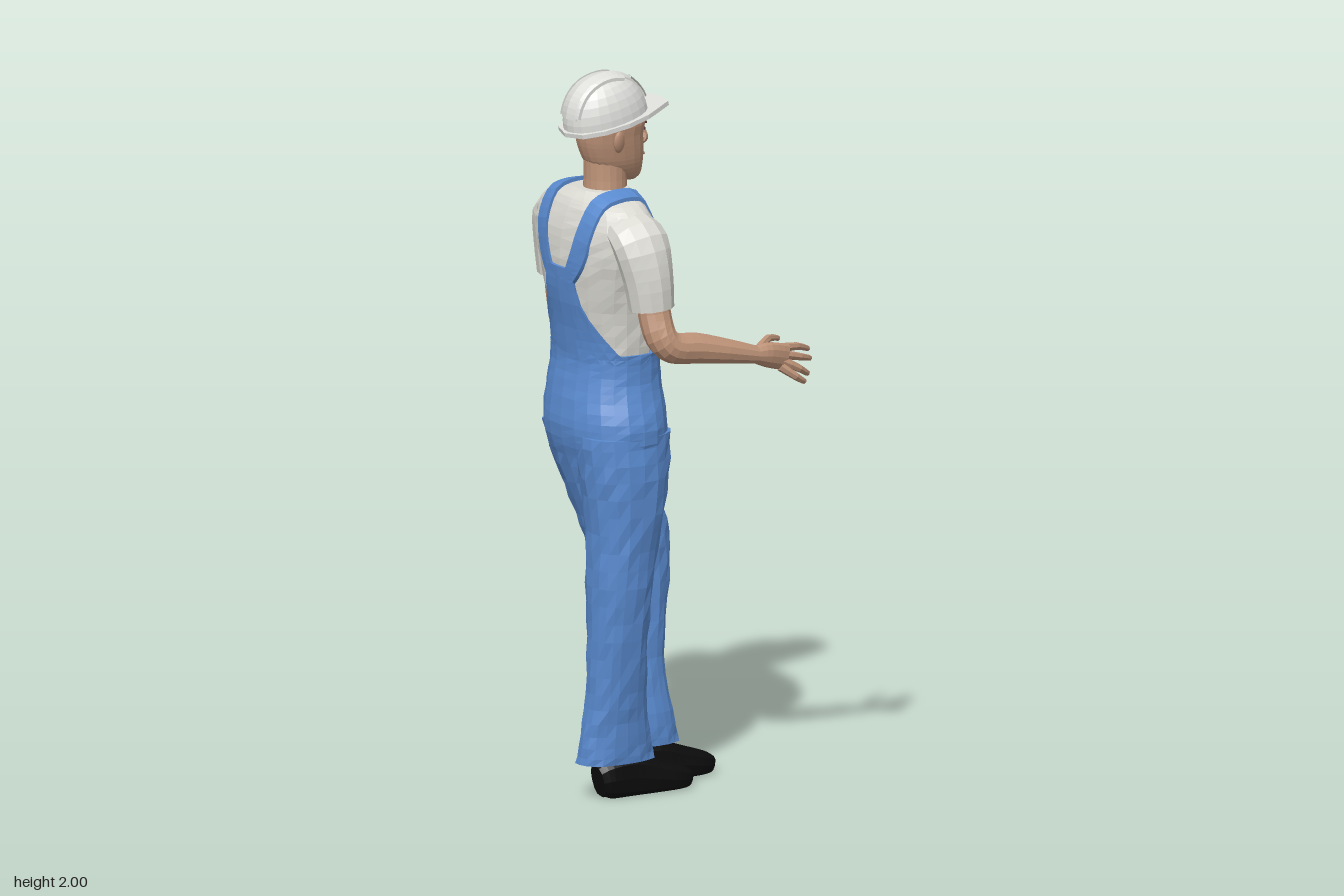
import * as THREE from 'three';

const mat = (name, color) => { const m = new THREE.MeshStandardMaterial({ color }); m.name = name; return m; };
const V = (x, y, z) => new THREE.Vector3(x, y, z);
const MID = 0.013; // z of the body's middle plane

export function createModel() {
  const skin = mat('skin', 0xbf9479), shirt = mat('shirt white', 0xdbdad3), shell = mat('helmet white', 0xdedfdb);
  const blue = mat('overall blue', 0x5a8bd0), black = mat('black', 0x0c0c0c), grey = mat('badge grey', 0x9b9b96);
  const dark = mat('brow brown', 0x4a352b), lip = mat('lip', 0xa87563);
  const man = new THREE.Group();
  man.name = 'worker';

  const add = (name, geometry, material, parent = man) => {
    const mesh = new THREE.Mesh(geometry, material);
    mesh.name = name;
    parent.add(mesh);
    return mesh;
  };

  // Faceted surface through rows of points, optionally closed round and capped
  function skinRows(rows, closed = true) {
    const out = [], n = rows[0].length;
    const tri = (...p) => p.forEach(q => out.push(q.x, q.y, q.z));
    for (let i = 0; i < rows.length - 1; i++)
      for (let j = 0; j < (closed ? n : n - 1); j++) {
        const k = (j + 1) % n, a = rows[i][j], b = rows[i + 1][j], c = rows[i + 1][k], d = rows[i][k];
        tri(a, b, d); tri(b, c, d);
      }
    if (closed) [rows[0], rows[rows.length - 1]].forEach((r, e) => {
      const m = r.reduce((s, p) => s.add(p), V(0, 0, 0)).divideScalar(n);
      for (let j = 0; j < n; j++) e ? tri(m, r[(j + 1) % n], r[j]) : tri(m, r[j], r[(j + 1) % n]);
    });
    const g = new THREE.BufferGeometry();
    g.setAttribute('position', new THREE.Float32BufferAttribute(out, 3));
    g.computeVertexNormals();
    return g;
  }

  // Spline between rows of numbers
  function smooth(rows, steps) {
    const out = [], at = i => rows[Math.max(0, Math.min(rows.length - 1, i))];
    for (let i = 0; i < rows.length - 1; i++)
      for (let s = 0; s < steps; s++) {
        const t = s / steps, [a, b, c, d] = [at(i - 1), at(i), at(i + 1), at(i + 2)];
        out.push(b.map((_, k) => b[k] + 0.5 * t * (c[k] - a[k] + t * (2 * a[k] - 5 * b[k] + 4 * c[k] - d[k]
          + t * (3 * (b[k] - c[k]) + d[k] - a[k])))));
      }
    out.push(at(rows.length - 1));
    return out;
  }
  const pow = (v, n) => Math.sign(v) * Math.abs(v) ** (2 / n);
  const ringAngles = n => Array.from({ length: n }, (_, j) => j / n * Math.PI * 2);

  // Horizontal sections [y, xBack, xFront, zMin, zMax]; crease adds folds in cloth
  function loft(rows, { steps = 3, sides = 20, n = 2.3, crease = 0 } = {}) {
    return skinRows(smooth(rows, steps).map(([y, x0, x1, z0, z1], i) => ringAngles(sides).map((a, j) => {
      const h = Math.sin(i * 12.99 + j * 78.23) * 43758.5, s = 1 + crease * (h - Math.floor(h) - 0.5);
      return V((x0 + x1) / 2 + (x1 - x0) / 2 * s * pow(Math.cos(a), n), y, (z0 + z1) / 2 + (z1 - z0) / 2 * s * pow(Math.sin(a), n));
    })));
  }

  // Tube along points [x, y, z, sideways radius, other radius]
  function limb(pts, { steps = 3, sides = 12, n = 2, floor = -1 } = {}) {
    const p = smooth(pts.map(q => q.length < 5 ? [...q, q[3]] : q), steps);
    return skinRows(p.map((q, i) => {
      const a = p[Math.max(0, i - 1)], b = p[Math.min(p.length - 1, i + 1)];
      const t = V(b[0] - a[0], b[1] - a[1], b[2] - a[2]).normalize();
      const u = V(0, 0, 1).addScaledVector(t, -t.z).normalize(), v = u.clone().cross(t);
      return ringAngles(sides).map(w => {
        const r = V(q[0], q[1], q[2]).addScaledVector(u, q[3] * pow(Math.cos(w), n)).addScaledVector(v, q[4] * pow(Math.sin(w), n));
        r.y = Math.max(floor, r.y);
        return r;
      });
    }));
  }

  // Point on a mesh seen from its inner centre, lifted by an offset
  const caster = new THREE.Raycaster();
  function onSurface(target, centre, dir, lift) {
    dir.normalize();
    caster.set(centre.clone().add(dir), dir.clone().negate());
    const hit = caster.intersectObject(target)[0];
    return centre.clone().addScaledVector(dir, (hit ? 1 - hit.distance : 0.1) + lift);
  }
  // Band running front to back over a mesh
  function band(target, cx, cy, zAt, half, a0, a1, lift, steps = 20) {
    return skinRows(Array.from({ length: steps + 1 }, (_, i) => {
      const t = i / steps, a = a0 + (a1 - a0) * t;
      return [[-1, 0], [-1, 1], [0, 1], [1, 1], [1, 0]].map(([s, l]) =>
        onSurface(target, V(cx, cy, zAt(t) + s * half), V(Math.cos(a), Math.sin(a), 0), l * lift));
    }), false);
  }
  // Cloth panel round a mesh; widths are [y, half angle]
  function panel(target, facing, widths) {
    const rows = smooth(widths, 3), last = rows[rows.length - 1];
    return skinRows([...rows, last].map(([y, w], i) => Array.from({ length: 15 }, (_, j) => {
      const s = Math.max(0, Math.min(12, j - 1)) / 6 - 1, a = facing + s * w;
      return onSurface(target, V(-0.178, y, MID), V(Math.cos(a), 0, Math.sin(a)), j === 0 || j === 14 || i === rows.length ? -0.003 : 0.01);
    })), false);
  }

  // Shirt
  const torso = add('shirt', loft([
    [1.1, -0.29, -0.055, -0.155, 0.18], [1.2, -0.282, -0.055, -0.155, 0.178], [1.3, -0.29, -0.05, -0.162, 0.188],
    [1.4, -0.308, -0.046, -0.178, 0.204], [1.5, -0.316, -0.056, -0.205, 0.232], [1.58, -0.308, -0.08, -0.225, 0.25],
    [1.63, -0.292, -0.1, -0.205, 0.232], [1.662, -0.275, -0.11, -0.155, 0.182], [1.685, -0.25, -0.115, -0.068, 0.094],
  ], { sides: 24, crease: 0.025 }), shirt);
  add('rightSleeve', limb([[-0.2, 1.605, 0.18, 0.05, 0.075], [-0.197, 1.57, 0.235, 0.062, 0.082], [-0.187, 1.48, 0.257, 0.066, 0.07], [-0.18, 1.395, 0.264, 0.062, 0.062]]), shirt);
  add('leftSleeve', limb([[-0.18, 1.605, -0.155, 0.05, 0.075], [-0.175, 1.57, -0.205, 0.062, 0.08], [-0.168, 1.48, -0.222, 0.064, 0.07], [-0.163, 1.395, -0.226, 0.06, 0.062]]), shirt);

  // Overalls
  add('overallWaist', loft([
    [0.95, -0.305, -0.06, -0.145, 0.205], [1.0, -0.318, -0.036, -0.17, 0.225], [1.06, -0.32, -0.034, -0.172, 0.222],
    [1.14, -0.306, -0.037, -0.168, 0.196], [1.2, -0.294, -0.042, -0.165, 0.188], [1.245, -0.292, -0.042, -0.168, 0.19],
  ], { sides: 24, crease: 0.015 }), blue);
  add('rightTrouserLeg', loft([
    [0.1, -0.31, -0.075, 0.035, 0.165], [0.18, -0.297, -0.095, 0.045, 0.168], [0.3, -0.286, -0.112, 0.05, 0.182],
    [0.45, -0.285, -0.118, 0.05, 0.2], [0.6, -0.285, -0.107, 0.04, 0.215], [0.75, -0.285, -0.085, 0.03, 0.225],
    [0.9, -0.303, -0.057, 0.025, 0.23], [1.02, -0.312, -0.05, 0.02, 0.222],
  ], { crease: 0.07 }), blue);
  add('leftTrouserLeg', loft([
    [0.11, -0.125, 0.06, -0.052, 0.072], [0.2, -0.12, 0.042, -0.052, 0.065], [0.35, -0.12, 0.028, -0.08, 0.045],
    [0.5, -0.135, 0.052, -0.113, 0.035], [0.65, -0.165, 0.07, -0.14, 0.03], [0.75, -0.2, 0.05, -0.153, 0.03],
    [0.9, -0.26, 0, -0.168, 0.035], [1.02, -0.3, -0.04, -0.167, 0.04],
  ], { crease: 0.07 }), blue);
  add('frontBib', panel(torso, 0, [[1.22, 1.4], [1.28, 1.14], [1.38, 0.9], [1.485, 0.85]]), blue);
  add('backBib', panel(torso, Math.PI, [[1.22, 1.45], [1.28, 1.1], [1.38, 0.58], [1.48, 0.4]]), blue);
  for (const [side, s] of [['right', 1], ['left', -1]]) {
    const zAt = t => MID + s * (t < 0.5 ? 0.105 + 0.02 * t : 0.115 - 0.32 * (t - 0.5) ** 2);
    add(side + 'Strap', band(torso, -0.18, 1.4, zAt, 0.027, 0.6, Math.PI - 0.3, 0.011, 26), blue);
    // Buckle with two prongs
    const buckle = new THREE.Group();
    buckle.name = side + 'Buckle';
    buckle.position.copy(onSurface(torso, V(-0.18, 1.52, MID + s * 0.105), V(1, 0, 0), 0.015));
    buckle.rotation.z = 0.2;
    for (const [y, h, w] of [[-0.022, 0.018, 0.05], [0.02, 0.022, 0.058], [0, 0.04, 0.028]])
      add('buckleBar', new THREE.BoxGeometry(0.015, h, w).translate(0, y, 0), black, buckle);
    man.add(buckle);
  }

  // Shoes
  const shoe = (x, z, turn) => limb([
    [0, 0.05, 0, 0.032, 0.045], [0.03, 0.055, 0, 0.044, 0.06], [0.1, 0.055, 0, 0.046, 0.065], [0.17, 0.044, 0, 0.052, 0.05],
    [0.235, 0.034, 0, 0.054, 0.038], [0.275, 0.027, 0, 0.042, 0.029], [0.293, 0.022, 0, 0.018, 0.017],
  ], { n: 2.6, floor: 0.003 }).rotateY(turn).translate(x, -0.003, z);
  add('rightShoe', shoe(-0.25, 0.105, 0), black);
  add('leftShoe', shoe(-0.115, 0.012, 0.03), black);

  // Arms and hands
  add('rightArm', limb([[-0.18, 1.46, 0.262, 0.045], [-0.178, 1.38, 0.276, 0.045], [-0.172, 1.32, 0.3, 0.044], [-0.14, 1.288, 0.309, 0.043],
    [-0.07, 1.278, 0.311, 0.043], [0.02, 1.26, 0.322, 0.035], [0.12, 1.238, 0.33, 0.024]]), skin);
  add('leftArm', limb([[-0.165, 1.46, -0.226, 0.045], [-0.152, 1.36, -0.235, 0.045], [-0.13, 1.27, -0.254, 0.042],
    [-0.08, 1.17, -0.288, 0.039], [0, 1.035, -0.33, 0.023]]), skin);
  add('rightPalm', limb([[0.11, 1.24, 0.33, 0.024], [0.155, 1.233, 0.327, 0.023, 0.035], [0.215, 1.217, 0.323, 0.013, 0.036]]), skin);
  add('leftPalm', limb([[-0.003, 1.042, -0.33, 0.023], [0.016, 0.995, -0.338, 0.021, 0.035], [0.032, 0.94, -0.34, 0.013, 0.038]]), skin);
  const fingers = {
    right: [[0.13, 1.25, 0.32, 0.19, 1.262, 0.27, 0.24, 1.25, 0.242], [0.2, 1.243, 0.318, 0.265, 1.236, 0.298, 0.318, 1.217, 0.27],
      [0.2, 1.227, 0.323, 0.265, 1.21, 0.315, 0.312, 1.195, 0.29], [0.2, 1.21, 0.325, 0.252, 1.183, 0.333, 0.287, 1.162, 0.318],
      [0.195, 1.195, 0.327, 0.235, 1.165, 0.342, 0.267, 1.145, 0.333]],
    left: [[0.012, 1.01, -0.33, 0.05, 0.98, -0.292, 0.06, 0.935, -0.275], [0.055, 0.958, -0.338, 0.079, 0.925, -0.325, 0.079, 0.885, -0.3],
      [0.045, 0.95, -0.34, 0.066, 0.9, -0.333, 0.063, 0.856, -0.305], [0.03, 0.945, -0.34, 0.042, 0.885, -0.336, 0.043, 0.84, -0.308],
      [0.012, 0.94, -0.34, 0.014, 0.89, -0.335, 0.016, 0.85, -0.31]],
  };
  for (const side in fingers) fingers[side].forEach((f, i) =>
    add(side + (i ? 'Finger' : 'Thumb'), limb([0, 3, 6].map(k => [f[k], f[k + 1], f[k + 2], 0.0135 - k * 0.0009]), { sides: 7, steps: 2 }), skin));

  // Neck and head
  const half = (y, x0, x1, w) => [y, x0, x1, MID - w, MID + w];
  add('neck', loft([half(1.62, -0.25, -0.1, 0.075), half(1.68, -0.23, -0.11, 0.06), half(1.76, -0.23, -0.105, 0.055)], { n: 2 }), skin);
  const head = add('head', loft([half(1.697, -0.125, -0.078, 0.024), half(1.712, -0.17, -0.063, 0.04), half(1.75, -0.222, -0.058, 0.059),
    half(1.79, -0.243, -0.057, 0.068), half(1.83, -0.253, -0.06, 0.074), half(1.87, -0.255, -0.055, 0.077), half(1.93, -0.235, -0.08, 0.065)]), skin);
  add('nose', limb([[-0.062, 1.855, MID, 0.008], [-0.05, 1.825, MID, 0.01], [-0.047, 1.803, MID, 0.016, 0.013], [-0.06, 1.79, MID, 0.011, 0.008]], { sides: 8 }), skin);
  const face = (name, y, z, w, h, material) => {
    const g = new THREE.SphereGeometry(1, 10, 6).scale(0.004, h, w);
    const m = add(name, g, material), d = V(0.1, 0, z);
    m.position.copy(onSurface(head, V(-0.16, y, MID), d, 0.001));
    m.rotation.y = -Math.atan2(z, 0.1);
  };
  face('mouth', 1.764, 0, 0.024, 0.006, lip);
  for (const s of [1, -1]) {
    face('eye', 1.838, s * 0.034, 0.011, 0.004, dark);
    face('eyebrow', 1.856, s * 0.036, 0.017, 0.003, dark);
    const ear = add('ear', new THREE.SphereGeometry(1, 10, 8).scale(0.02, 0.032, 0.01), skin);
    ear.position.set(-0.175, 1.822, MID + s * 0.08);
    ear.rotation.set(s * 0.15, s * 0.3, 0.15);
  }

  // Hard hat, tipped up at the front
  const hat = new THREE.Group();
  hat.name = 'hardHat';
  const dome = add('helmetShell', loft(Array.from({ length: 9 }, (_, i) => {
    const a = i / 8 * 1.5, r = Math.cos(a) ** 0.85;
    return [0.128 * Math.sin(a), -0.124 * r, 0.124 * r, -0.092 * r, 0.092 * r];
  }), { steps: 1, sides: 24, n: 2.1 }), shell, hat);
  const edge = [[-0.115, 0.062], [-0.06, 0.095], [0.01, 0.106], [0.08, 0.095], [0.135, 0.07], [0.172, 0.052]];
  const outline = new THREE.Shape([[-0.135, 0], ...edge, [0.18, 0], ...edge.map(([x, z]) => [x, -z]).reverse()].map(p => new THREE.Vector2(...p)));
  add('helmetBrim', new THREE.ExtrudeGeometry(outline, { depth: 0.012, bevelEnabled: false }).rotateX(Math.PI / 2).translate(0, 0.006, 0), shell, hat);
  add('helmetCrest', band(dome, 0, 0, () => 0, 0.034, 0.3, 2.8, 0.005), shell, hat);
  for (const s of [1, -1]) add('helmetRib', band(dome, 0, 0, () => s * 0.04, 0.005, 1.1, 2.75, 0.009), shell, hat);
  add('helmetBadge', band(dome, 0, 0, () => 0, 0.024, 0.25, 0.85, 0.008, 8), grey, hat);
  hat.position.set(-0.165, 1.868, MID - 0.003);
  hat.rotation.z = 0.2;
  man.add(hat);
  return man;
}
